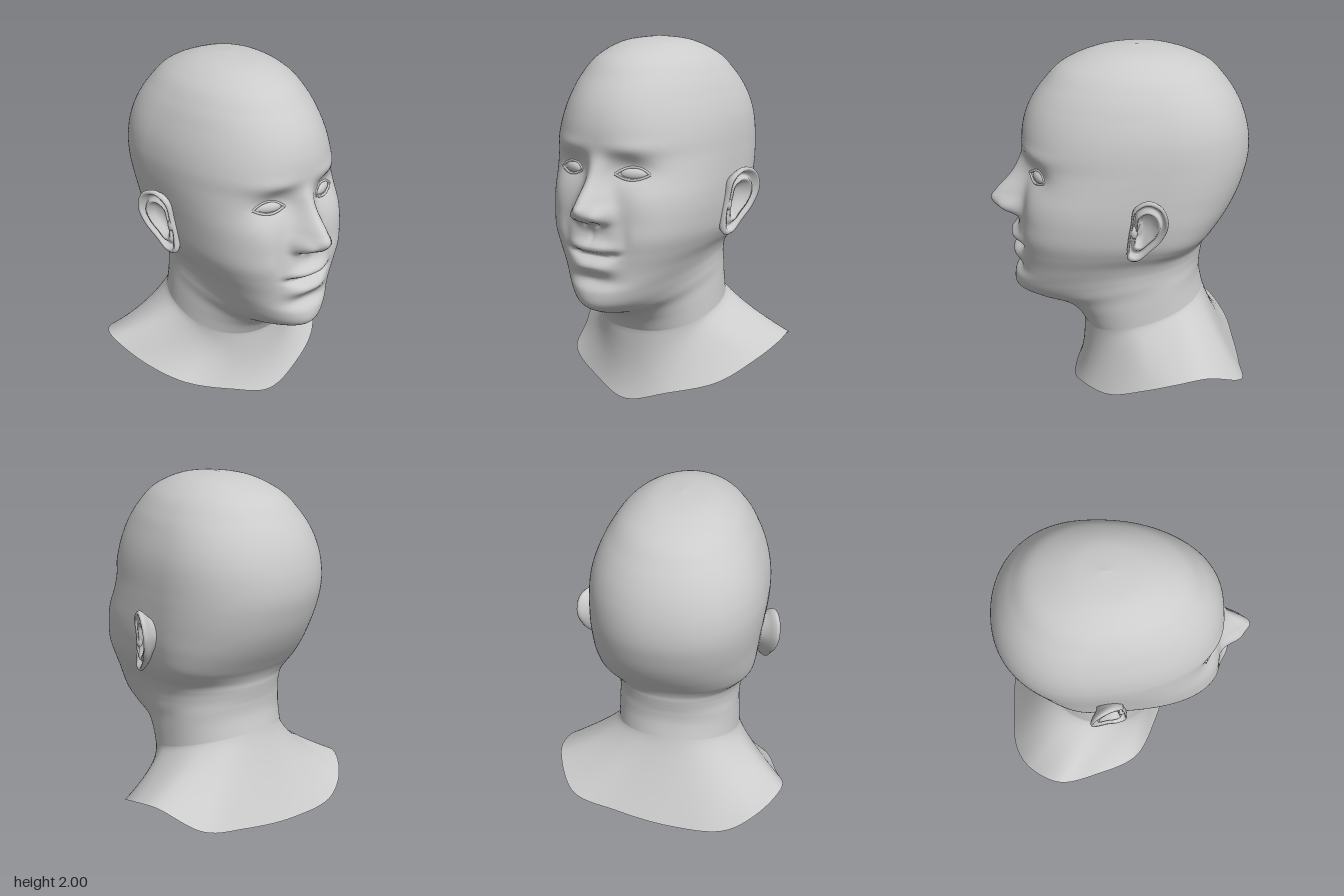
import * as THREE from 'three';

const YAW = 0.367, CX = 0.06, CZ = -0.06; // the head is turned to its left
const COLS = 168;

// Head and neck rings: front y, back y, front depth, back depth, half width, front squareness, depth of widest point
const RINGS = [
  [2.00, 2.00, 0.03, 0.01, 0.00, 2.0, 0.02],
  [1.975, 1.975, 0.25, -0.18, 0.17, 2.0, 0.02],
  [1.90, 1.90, 0.43, -0.365, 0.30, 2.0, 0.00],
  [1.80, 1.80, 0.53, -0.465, 0.38, 2.1, -0.04],
  [1.70, 1.70, 0.60, -0.53, 0.43, 2.15, -0.08],
  [1.60, 1.60, 0.64, -0.57, 0.463, 2.2, -0.09],
  [1.50, 1.50, 0.655, -0.59, 0.478, 2.3, -0.09],
  [1.40, 1.40, 0.645, -0.59, 0.48, 2.45, -0.09],
  [1.30, 1.30, 0.64, -0.567, 0.475, 2.75, -0.09],
  [1.20, 1.20, 0.655, -0.53, 0.467, 3.0, -0.08],
  [1.10, 1.10, 0.67, -0.475, 0.457, 3.1, -0.08],
  [1.00, 1.00, 0.69, -0.405, 0.44, 3.05, -0.07],
  [0.90, 0.95, 0.69, -0.37, 0.41, 2.85, -0.04],
  [0.80, 0.905, 0.69, -0.35, 0.37, 2.65, 0.00],
  [0.70, 0.87, 0.72, -0.345, 0.35, 2.2, 0.00],
  [0.62, 0.84, 0.71, -0.34, 0.345, 1.9, 0.00],
  [0.57, 0.81, 0.62, -0.335, 0.345, 1.85, 0.00],
  [0.53, 0.77, 0.47, -0.33, 0.345, 2.0, -0.02],
  [0.47, 0.70, 0.38, -0.33, 0.35, 2.15, -0.02],
  [0.39, 0.60, 0.33, -0.35, 0.355, 2.2, -0.02],
];

// Open lower edge, from the front round by the left shoulder
const RIM = [
  [0.20, 0.00, 0.31], [0.42, 0.07, 0.18], [0.60, 0.14, -0.03], [0.66, 0.24, -0.25], [0.65, 0.30, -0.42],
  [0.58, 0.32, -0.57], [0.38, 0.22, -0.72], [0.12, 0.165, -0.665], [-0.20, 0.13, -0.57], [-0.49, 0.15, -0.45],
  [-0.62, 0.23, -0.30], [-0.66, 0.29, -0.09], [-0.52, 0.20, 0.10], [-0.32, 0.14, 0.29], [-0.05, 0.06, 0.33],
];

const V = (x, y, z) => new THREE.Vector3(x, y, z);
const bell = (x, s) => Math.exp(-((x / s) ** 2));
const { smoothstep, lerp } = THREE.MathUtils;

// Smooth interpolation through the rows of a table
function sample(table, t) {
  const i = Math.min(Math.floor(t), table.length - 2), f = t - i;
  const row = (k) => table[Math.max(0, Math.min(table.length - 1, k))];
  return table[i].map((b, c) => {
    const a = row(i - 1)[c], d = row(i + 1)[c], e = row(i + 2)[c];
    return b + 0.5 * f * (d - a + f * (2 * a - 5 * b + 4 * d - e + f * (3 * (b - d) + e - a)));
  });
}

// Skin through closed rings of points
function loft(rows) {
  const n = rows[0].length, index = [];
  for (let i = 0; i < rows.length - 1; i++) {
    for (let j = 0; j < n; j++) {
      const a = i * n + j, b = i * n + (j + 1) % n;
      index.push(a, a + n, b, b, a + n, b + n);
    }
  }
  const g = new THREE.BufferGeometry().setFromPoints(rows.flat());
  g.setIndex(index);
  g.computeVertexNormals();
  return g;
}

// Nose ridge: y, height above the face
const NOSE = [[1.02, 0], [1.065, 0.03], [1.10, 0.125], [1.15, 0.175], [1.19, 0.16], [1.28, 0.095], [1.36, 0.045], [1.43, 0.01], [1.5, 0]];
function noseHeight(y) {
  if (y <= 1.02 || y >= 1.5) return 0;
  const i = NOSE.findIndex((p) => p[0] > y) - 1;
  return sample(NOSE, i + (y - NOSE[i][0]) / (NOSE[i + 1][0] - NOSE[i][0]))[1];
}

// Facial relief added to the front of the head
function relief(u, y) {
  const m = Math.abs(u);
  let d = noseHeight(y) * Math.exp(-((m / lerp(0.085, 0.055, smoothstep(y, 1.12, 1.34))) ** 2.2));
  d += 0.045 * bell(m - 0.08, 0.035) * bell(y - 1.12, 0.04);           // nostril wings
  d -= 0.025 * bell(m - 0.04, 0.02) * bell(y - 1.078, 0.016);          // nostrils
  d += 0.012 * bell(m - 0.19, 0.13) * bell(y - 1.46, 0.04);            // brows
  d -= 0.04 * bell(m - 0.16, 0.085) * bell(y - 1.36, 0.065);           // eye sockets
  d -= 0.02 * bell(m - 0.25, 0.08) * bell(y - 1.34, 0.07);             // outer eye corners
  d += 0.012 * bell(m - 0.26, 0.09) * bell(y - 1.16, 0.1);             // cheeks
  d -= 0.01 * bell(m - 0.18, 0.035) * bell(y - 1.0, 0.08);             // smile folds
  const lip = Math.exp(-((m / 0.125) ** 3));
  d += lip * (0.042 * bell(y - 0.945, 0.034) + 0.036 * bell(y - 0.84, 0.036));
  d -= 0.035 * Math.exp(-((m / 0.15) ** 5)) * bell(y - 0.895 - 0.8 * u * u, 0.02); // mouth
  d -= 0.006 * bell(m, 0.016) * bell(y - 1.0, 0.03);                   // lip groove
  return d - 0.025 * bell(m, 0.14) * bell(y - 0.76, 0.035);            // chin crease
}

// The skull sits slightly to the right of the face
const lean = (y) => -0.02 * smoothstep(y, 1.1, 1.5);

// Depth of the face at a given place (between the top of the head and the mouth)
function faceDepth(u, y) {
  const [, , F, , W, n, mid] = sample(RINGS, 2 + (1.9 - y) * 10);
  return mid + (F - mid) * (1 - Math.abs((u - lean(y)) / W) ** n) ** (1 / n) + relief(u, y);
}

// Column angles, packed more closely on the face
const ANGLES = Array.from({ length: COLS }, (_, j) => {
  const t = (j / COLS) * Math.PI * 2;
  return t - 0.5 * Math.sin(t);
});

function ring(t) {
  const [yF, yB, F, B, W, nF, mid] = sample(RINGS, t);
  return ANGLES.map((a) => {
    const s = Math.sin(a), c = Math.cos(a);
    const n = lerp(2.15, nF, smoothstep(c, -0.2, 0.3));
    const r = (Math.abs(s) ** n + Math.abs(c) ** n) ** (-1 / n);
    const w = mid + (c > 0 ? F - mid : mid - B) * r * c;
    const y = lerp(yB, yF, (w - B) / (F - B));
    const u = W * r * s + lean(y);
    return V(u, y, w + relief(u, y) * smoothstep(w, 0.15, 0.4));
  });
}

function headAndNeck() {
  const rows = [], steps = (RINGS.length - 1) * 9;
  for (let i = 0; i <= steps; i++) rows.push(ring(i / 9));
  // Flare from the neck out to the shoulder edge, steeper at the throat
  const c = Math.cos(YAW), s = Math.sin(YAW);
  const edge = new THREE.CatmullRomCurve3(RIM.map(([x, y, z]) =>
    V((x - CX) * c - (z - CZ) * s, y, (x - CX) * s + (z - CZ) * c)), true);
  const neck = rows[rows.length - 1];
  const rim = ANGLES.map((a) => edge.getPoint(a / (Math.PI * 2)));
  for (let k = 1; k <= 16; k++) {
    const f = k / 16;
    rows.push(neck.map((p, j) => {
      const front = Math.cos(ANGLES[j]);
      const out = f ** (1.2 + 0.2 * smoothstep(front, -0.8, 0) + 1.5 * smoothstep(front, 0.2, 0.95));
      return V(lerp(p.x, rim[j].x, out), lerp(p.y, rim[j].y, f), lerp(p.z, rim[j].z, out));
    }));
  }
  return loft(rows);
}

// Ear: back of the shell, rolled rim and hollow bowl in one skin
function ear(side) {
  const outline = new THREE.CatmullRomCurve3([
    [0.475, 1.16, 0.105], [0.495, 1.26, 0.09], [0.53, 1.315, 0.02], [0.56, 1.29, -0.05], [0.565, 1.20, -0.08],
    [0.54, 1.10, -0.05], [0.505, 1.02, 0.01], [0.48, 0.955, 0.075], [0.465, 0.96, 0.12], [0.46, 1.05, 0.12],
  ].map((p) => V(...p)), true).getSpacedPoints(48).slice(0, 48);
  const centre = V(0.51, 1.15, 0.03);
  // Scale towards the centre, then shift outwards
  const steps = [[0.6, -0.12], [0.72, -0.06], [0.92, -0.03], [1, -0.012], [1.01, 0.002], [0.96, 0.014], [0.88, 0.01],
    [0.81, -0.015], [0.72, -0.016], [0.64, 0.004], [0.56, 0.002], [0.46, -0.03], [0.25, -0.045], [0.01, -0.045]];
  const rows = steps.map(([k, out]) => {
    const row = outline.map((p) => {
      const q = centre.clone().lerp(p, k);
      return V(side * (q.x + out), q.y, q.z);
    });
    return side > 0 ? row : row.reverse();
  });
  return loft(rows);
}

export function createModel() {
  const model = new THREE.Group();
  const skin = new THREE.MeshStandardMaterial({ color: 0xcccccc, side: THREE.DoubleSide });
  const bust = new THREE.Group();
  bust.name = 'bust';
  bust.position.set(CX, 0, CZ);
  bust.rotation.y = YAW;
  model.add(bust);

  const add = (name, geometry) => {
    const mesh = new THREE.Mesh(geometry, skin);
    mesh.name = name;
    bust.add(mesh);
    return mesh;
  };

  add('headAndNeck', headAndNeck());

  for (const side of [1, -1]) {
    const label = side > 0 ? 'left' : 'right';
    add(label + 'Ear', ear(side));
    add(label + 'Tragus', new THREE.SphereGeometry(0.025, 12, 8).scale(0.7, 1.4, 0.8))
      .position.set(side * 0.475, 1.12, 0.09);

    // Eyeball with an upper and a lower lid
    const eu = side * 0.19 - 0.01, ey = 1.33;
    const eye = add(label + 'Eyeball', new THREE.SphereGeometry(1, 24, 16).scale(0.08, 0.034, 0.03));
    eye.position.set(eu, ey, faceDepth(eu, ey) - 0.014);
    eye.rotation.y = side * 0.4;
    for (const [lid, h] of [['UpperLid', 0.036], ['LowerLid', -0.028]]) {
      const pts = Array.from({ length: 9 }, (_, i) => {
        const t = i / 4 - 1, u = eu + 0.085 * t, y = ey + h * (1 - t * t);
        return V(u, y, faceDepth(u, y));
      });
      add(label + lid, new THREE.TubeGeometry(new THREE.CatmullRomCurve3(pts), 24, 0.007, 6));
    }
  }
  return model;
}
